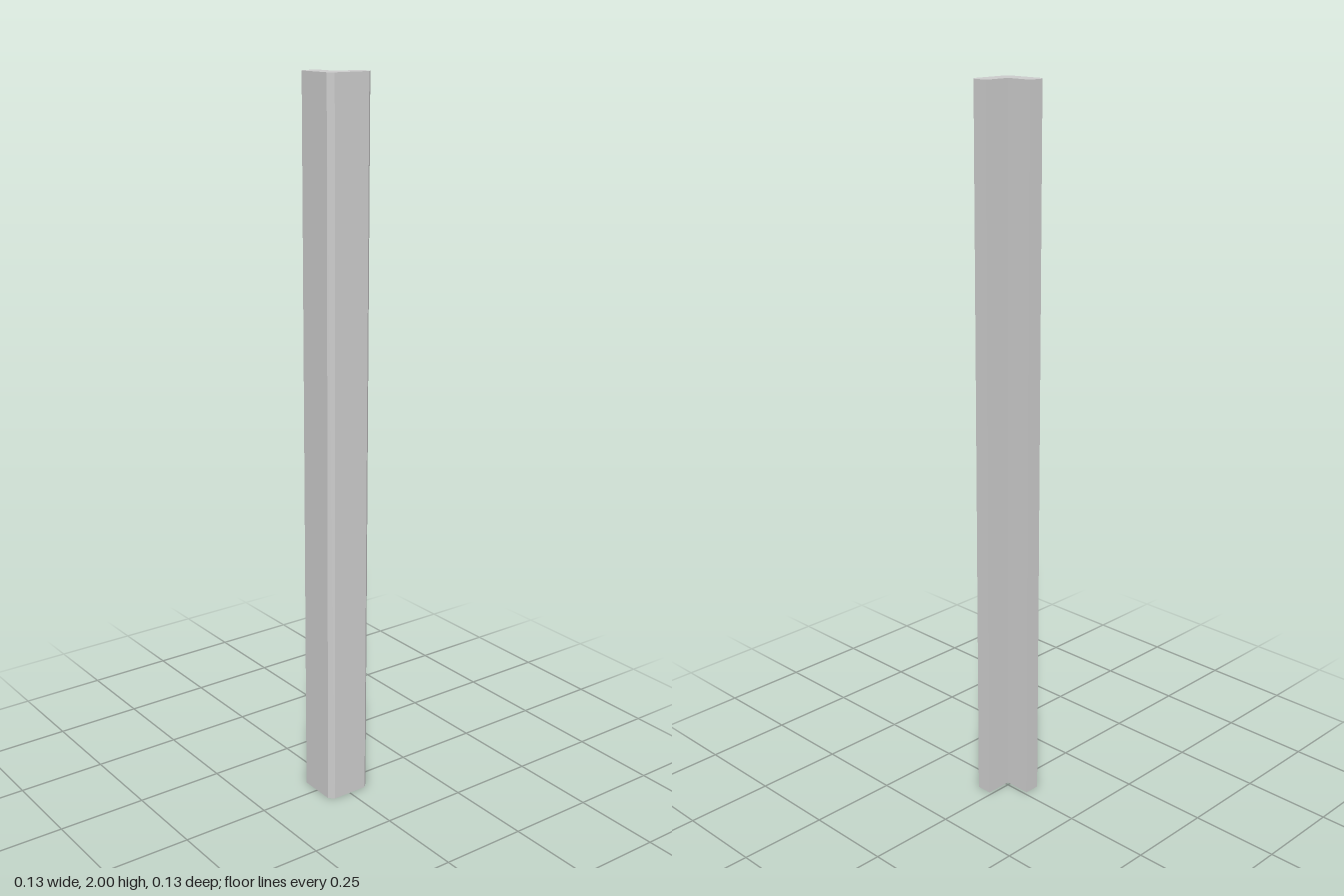
import * as THREE from 'three';

export function createModel() {
  const group = new THREE.Group();
  group.name = 'cornerTrim';

  const h = 0.067;      // half width of the L section
  const inner = 0.009;  // position of the inside corner
  const c = 0.014;      // chamfer size
  const height = 2;

  // L-shaped section, drawn with shape y = -z
  const section = new THREE.Shape([
    [-h + c, -h], [h - c, -h],   // front face
    [h, -h + c], [h, h - c],     // left face
    [h - c, h], [inner, h],      // rear end of the side leg
    [inner, -inner],             // inside corner
    [-h, -inner], [-h, -h + c],  // end of the front leg
  ].map(([x, y]) => new THREE.Vector2(x, y)));

  // Extrude the section and stand it upright
  const geometry = new THREE.ExtrudeGeometry(section, { depth: height, bevelEnabled: false });
  geometry.rotateX(-Math.PI / 2);

  const post = new THREE.Mesh(
    geometry,
    new THREE.MeshStandardMaterial({ color: 0xcccccc, flatShading: true }),
  );
  post.name = 'anglePost';
  group.add(post);
  return group;
}
